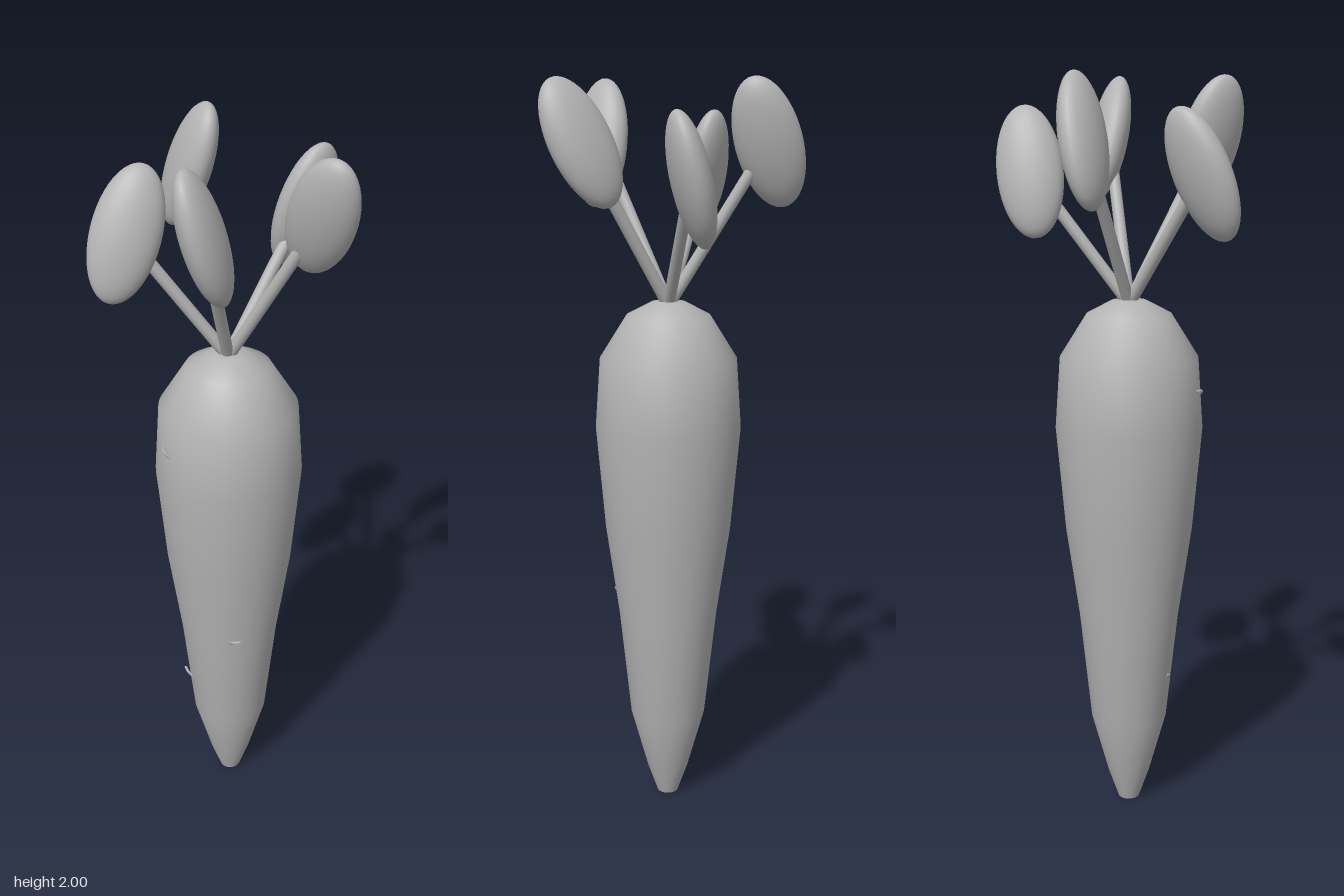
import * as THREE from 'three';

const AXIS_X = -0.03;

export function createModel() {
  const model = new THREE.Group();
  const grey = new THREE.MeshStandardMaterial({ color: 0xb4b4b4 });
  grey.name = 'plain grey';

  function add(name, geometry, parent = model) {
    const mesh = new THREE.Mesh(geometry, grey);
    mesh.name = name;
    parent.add(mesh);
    return mesh;
  }

  // Tapered root, turned from a short profile
  const profile = [
    [0.029, 0], [0.057, 0.08], [0.104, 0.25], [0.136, 0.55], [0.172, 0.8],
    [0.197, 1.08], [0.184, 1.27], [0.112, 1.385], [0.045, 1.42], [0, 1.423],
  ].map(([r, y]) => new THREE.Vector2(r, y));
  add('root', new THREE.LatheGeometry(profile, 48)).position.x = AXIS_X;

  // Flat cut at the root tip
  const tip = add('rootTip', new THREE.CircleGeometry(0.029, 48));
  tip.rotation.x = Math.PI / 2;
  tip.position.x = AXIS_X;

  // Five stems in a ring, each with a leaf: [radial distance, height, radial tilt]
  const leaves = [
    [0.255, 1.835, 0.40], [0.25, 1.827, 0.15], [0.25, 1.75, -0.32],
    [0.256, 1.833, -0.27], [0.255, 1.75, 0.14],
  ];
  const up = new THREE.Vector3(0, 1, 0);
  const base = new THREE.Vector3(AXIS_X, 1.41, 0);

  leaves.forEach(([distance, height, tilt], i) => {
    const angle = (i * 2 * Math.PI) / leaves.length;
    const radial = new THREE.Vector3(Math.cos(angle), 0, Math.sin(angle));
    const tangent = new THREE.Vector3(-Math.sin(angle), 0, Math.cos(angle));
    const centre = new THREE.Vector3(AXIS_X, height, -0.004).addScaledVector(radial, distance);
    const sprig = new THREE.Group();
    sprig.name = 'sprig';
    model.add(sprig);

    // Straight stem running into the leaf
    const end = base.clone().lerp(centre, 0.85);
    const along = end.clone().sub(base);
    const stem = add('stem', new THREE.CylinderGeometry(0.016, 0.016, along.length(), 16), sprig);
    stem.position.copy(base).lerp(end, 0.5);
    stem.quaternion.setFromUnitVectors(up, along.normalize());

    // Flattened oval leaf, broad side along the radius
    const long = up.clone().addScaledVector(radial, tilt).addScaledVector(tangent, 0.26).normalize();
    const wide = radial.clone().addScaledVector(long, -radial.dot(long)).normalize();
    const thin = wide.clone().cross(long);
    const leaf = add('leaf', new THREE.SphereGeometry(1, 32, 24), sprig);
    leaf.scale.set(0.088, 0.175, 0.05);
    leaf.quaternion.setFromRotationMatrix(new THREE.Matrix4().makeBasis(wide, long, thin));
    leaf.position.copy(centre);
  });

  // Tiny curved rootlets on the skin: [start, middle, end]
  const rootlets = [
    [[-0.133, 1.187, 0.158], [-0.118, 1.186, 0.177], [-0.102, 1.172, 0.173]],
    [[0.04, 0.575, 0.115], [0.057, 0.592, 0.126], [0.078, 0.596, 0.118]],
    [[-0.13, 0.397, 0.085], [-0.114, 0.392, 0.095], [-0.093, 0.372, 0.09]],
  ];
  for (const points of rootlets) {
    const curve = new THREE.CatmullRomCurve3(points.map((p) => new THREE.Vector3(...p)));
    add('rootlet', new THREE.TubeGeometry(curve, 10, 0.004, 6));
  }

  return model;
}
